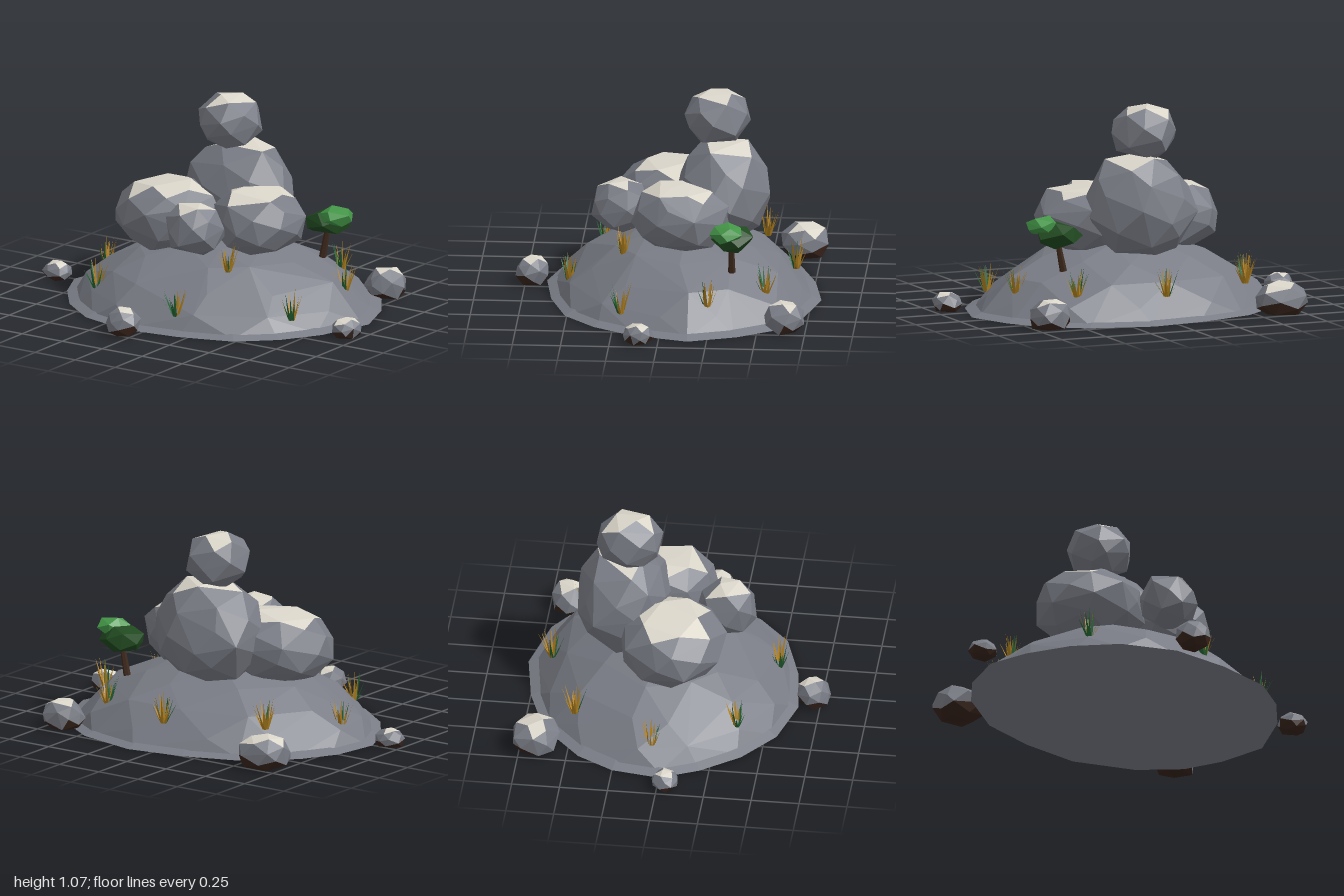
import * as THREE from 'three';
import { ConvexGeometry } from 'three/addons/geometries/ConvexGeometry.js';
import { mergeGeometries } from 'three/addons/utils/BufferGeometryUtils.js';

const mat = (name, color, side = THREE.FrontSide) => {
  const m = new THREE.MeshStandardMaterial({ color, side });
  m.name = name;
  return m;
};

// small seeded random generator
function seeded(seed) {
  let s = seed * 7919 + 17;
  return () => {
    s = (s * 16807) % 2147483647;
    return s / 2147483647;
  };
}

// faceted convex lump fitted into the box min..max; capTop / capBottom flatten its ends, tilt slopes the top
function lump(min, max, seed, { count = 40, capTop = 2, capBottom = -2, tilt = 0 } = {}) {
  const rnd = seeded(seed);
  for (let i = 0; i < 5; i++) rnd();
  const turn = rnd() * 6;
  const pts = [];
  for (let i = 0; i < count; i++) {
    const y = 1 - (2 * (i + 0.5)) / count;
    const r = Math.sqrt(1 - y * y);
    const a = turn + i * 2.39996 + (rnd() - 0.5) * 0.35;
    const k = 0.94 + rnd() * 0.12;
    const p = new THREE.Vector3(Math.cos(a) * r * k, y * k, Math.sin(a) * r * k);
    p.y = Math.max(capBottom, Math.min(p.y, capTop + tilt * p.x));
    pts.push(p);
  }
  const box = new THREE.Box3().setFromPoints(pts);
  const size = box.getSize(new THREE.Vector3());
  const lo = new THREE.Vector3(...min), span = new THREE.Vector3(...max).sub(lo);
  pts.forEach((p) => p.sub(box.min).divide(size).multiply(span).add(lo));
  return new ConvexGeometry(pts);
}

// assigns a material index to every face from its normal and centre height
function paintFaces(geo, pick) {
  const pos = geo.attributes.position;
  const tri = new THREE.Triangle(), n = new THREE.Vector3(), c = new THREE.Vector3();
  geo.clearGroups();
  for (let i = 0; i < pos.count; i += 3) {
    tri.setFromAttributeAndIndices(pos, i, i + 1, i + 2);
    tri.getNormal(n);
    tri.getMidpoint(c);
    geo.addGroup(i, 3, pick(n.y, c.y));
  }
  return geo;
}

export function createModel() {
  const model = new THREE.Group();
  const stone = mat('grey stone', 0x7a7d86);
  const pale = mat('pale stone top', 0xdbd6ca);
  const earth = mat('dark earth', 0x38241b);
  const bark = mat('bark', 0x3f2a1d);
  const leafDark = mat('dark leaves', 0x20491f);
  const leafLight = mat('light leaves', 0x449648);
  const gold = mat('dry grass', 0xb58420, THREE.DoubleSide);
  const green = mat('green grass', 0x256634, THREE.DoubleSide);

  const add = (name, geo, material, parent = model) => {
    const mesh = new THREE.Mesh(geo, material);
    mesh.name = name;
    parent.add(mesh);
    return mesh;
  };

  // mound: irregular ground outline with a flat skirt, then shrinking rings up to the crown
  const outline = [
    [0.14, -0.8], [0.47, -0.72], [0.68, -0.58], [0.8, -0.4], [0.89, -0.15], [0.8, 0.15],
    [0.67, 0.35], [0.49, 0.51], [0.2, 0.6], [-0.11, 0.64], [-0.4, 0.56], [-0.61, 0.4],
    [-0.76, 0.2], [-0.85, 0], [-0.81, -0.25], [-0.7, -0.44], [-0.46, -0.65], [-0.17, -0.75],
  ];
  const curve = new THREE.CatmullRomCurve3(outline.map(([x, z]) => new THREE.Vector3(x, 0, z)), true);
  const shrink = (p, s, y) => new THREE.Vector3(0.02 + (p.x - 0.02) * s, y, -0.08 + (p.z + 0.08) * s);
  const rim = (s, y) => curve.points.map((p) => shrink(p, s, y));
  add('moundSkirt', new ConvexGeometry([...rim(1, 0), ...rim(0.92, 0.025)]), stone);
  const rnd = seeded(5);
  const moundPts = rim(0.95, 0.002);
  [[0.87, 0.09, 12], [0.73, 0.185, 11], [0.53, 0.285, 9], [0.28, 0.35, 6]].forEach(([k, y, n], ring) => {
    for (let i = 0; i < n; i++) {
      const p = curve.getPoint(((i + 0.4 * ring + 0.4 * rnd()) / n) % 1);
      moundPts.push(shrink(p, k + (rnd() - 0.5) * 0.04, y + (rnd() - 0.5) * 0.02));
    }
  });
  moundPts.push(new THREE.Vector3(0.02, 0.365, -0.08));
  add('mound', new ConvexGeometry(moundPts), stone);

  // stacked boulders: name, box corners, seed, shape
  const boulders = [
    ['leftBoulder', [-0.54, 0.25, -0.27], [0.03, 0.635, 0.28], 3, { capTop: 0.78, tilt: 0.14, count: 40 }],
    ['rightBoulder', [0.03, 0.3, -0.33], [0.49, 0.645, 0.18], 8, { capTop: 0.82, tilt: -0.14, count: 38 }],
    ['backBoulder', [-0.28, 0.27, -0.53], [0.3, 0.815, -0.04], 12, { capTop: 0.9, tilt: -0.08, count: 38 }],
    ['topBoulder', [-0.21, 0.78, -0.42], [0.14, 1.07, -0.08], 21, { count: 25, capTop: 0.95, tilt: -0.15 }],
    ['frontBoulder', [-0.08, 0.34, 0.09], [0.225, 0.61, 0.4], 31, { count: 25, capTop: 0.9, tilt: -0.1 }],
  ];
  for (const [name, min, max, seed, shape] of boulders) {
    const geo = paintFaces(lump(min, max, seed, shape), (ny) => (ny > 0.87 ? 1 : 0));
    add(name, geo, [stone, pale]);
  }

  // loose rocks round the foot: pale on top, earthy underneath
  const rocks = [
    [-0.63, -0.665, 0.13, 0.125, 0.17], [0.665, -0.64, 0.11, 0.105, 0.15],
    [-0.925, 0.04, 0.075, 0.07, 0.095], [0.92, 0.1, 0.08, 0.08, 0.1], [-0.06, 0.715, 0.09, 0.085, 0.145],
  ];
  rocks.forEach(([x, z, rx, rz, h], i) => {
    const geo = lump([x - rx, 0, z - rz], [x + rx, h, z + rz], 40 + i * 3, { count: 26, capBottom: -0.68, capTop: 0.92 });
    paintFaces(geo, (ny, y) => (ny > 0.84 ? 1 : ny < -0.35 || y < h * 0.27 ? 2 : 0));
    add('looseRock', geo, [stone, pale, earth]);
  });

  // little tree: leaning trunk and two leaf clumps
  const tree = new THREE.Group();
  tree.name = 'tree';
  model.add(tree);
  const trunkGeo = new THREE.CylinderGeometry(0.013, 0.019, 0.18, 6).toNonIndexed();
  trunkGeo.computeVertexNormals();
  const trunk = add('trunk', trunkGeo, bark, tree);
  trunk.position.set(0.48, 0.335, -0.355);
  trunk.rotation.z = -0.2;
  add('lowerLeaves', lump([0.37, 0.37, -0.47], [0.61, 0.505, -0.25], 61, { count: 14 }), leafDark, tree);
  add('upperLeaves', lump([0.485, 0.44, -0.415], [0.655, 0.54, -0.245], 67, { count: 14 }), leafLight, tree);

  // grass tufts: thin pointed blades fanning outward; the last number is the share of dry blades
  const tufts = [
    [0.01, 0.13, -0.66, 0.6], [-0.51, 0.14, -0.48, 0.8], [0.46, 0.13, -0.53, 0.5],
    [0.68, 0.12, -0.24, 0.75], [-0.69, 0.08, -0.06, 0.75], [-0.47, 0.1, 0.36, 0.55],
    [0.13, 0.08, 0.51, 0.4], [0.26, 0.27, 0.22, 0.9], [0.65, 0.07, 0.21, 0.65],
  ];
  tufts.forEach(([x, y, z, dry], t) => {
    const r = seeded(80 + t);
    const blades = [[], []];
    for (let i = 0; i < 16; i++) {
      const a = i * 2.4 + r();
      const cx = Math.cos(a), cz = Math.sin(a);
      const reach = 0.025 + r() * 0.055, h = 0.09 + r() * 0.075, w = 0.009;
      const geo = new THREE.BufferGeometry();
      geo.setAttribute('position', new THREE.Float32BufferAttribute([
        cx * 0.014 - cz * w, 0, cz * 0.014 + cx * w,
        cx * 0.014 + cz * w, 0, cz * 0.014 - cx * w,
        cx * reach, h, cz * reach,
      ], 3));
      geo.computeVertexNormals();
      blades[(i * 0.618) % 1 < dry ? 0 : 1].push(geo);
    }
    const tuft = new THREE.Group();
    tuft.name = 'grassTuft';
    tuft.position.set(x, y, z);
    model.add(tuft);
    add('dryBlades', mergeGeometries(blades[0]), gold, tuft);
    add('greenBlades', mergeGeometries(blades[1]), green, tuft);
  });

  return model;
}
